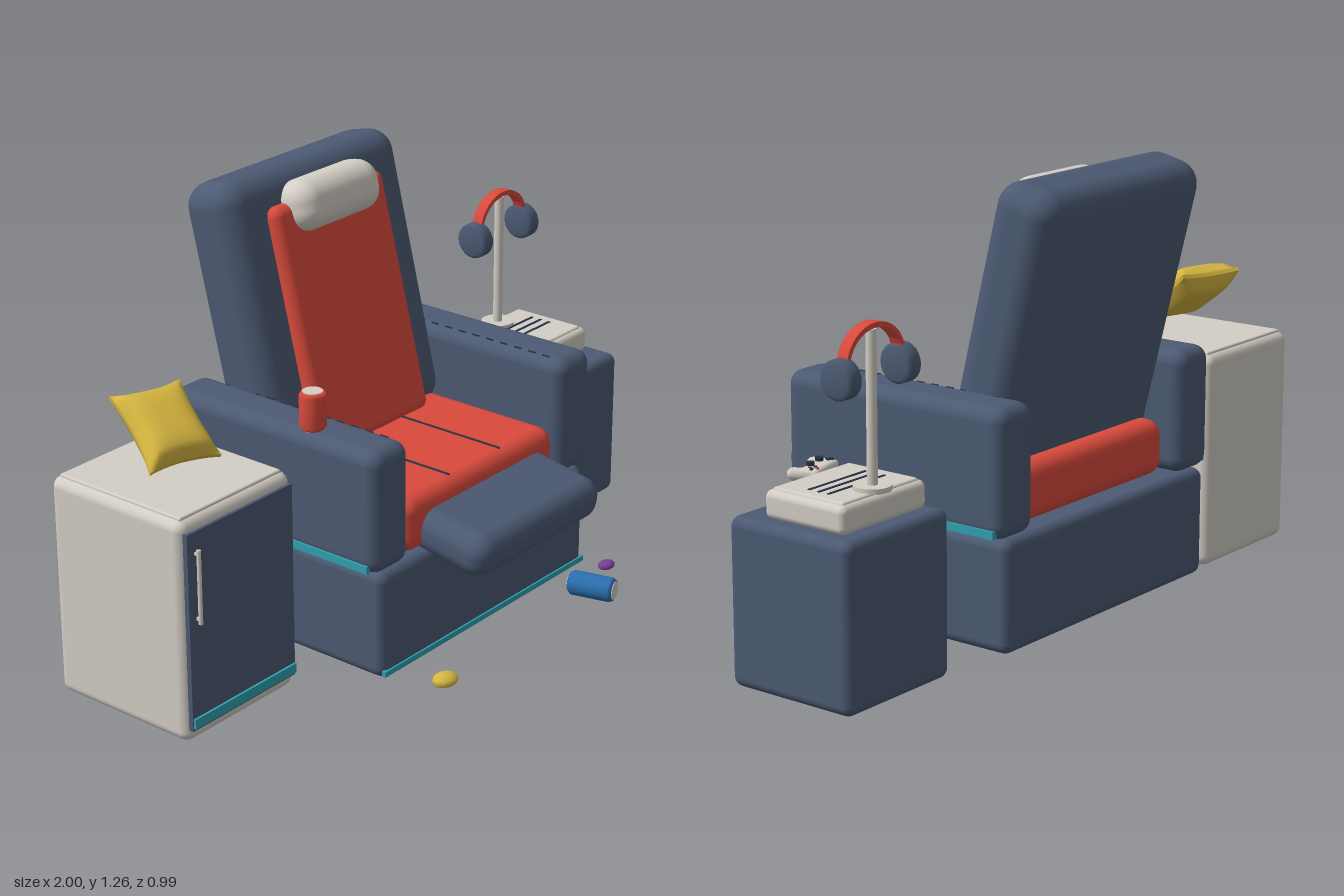
import * as THREE from 'three';
import { RoundedBoxGeometry } from 'three/addons/geometries/RoundedBoxGeometry.js';

const mat = (name, color) => {
  const m = new THREE.MeshStandardMaterial({ color });
  m.name = name;
  return m;
};

export function createModel() {
  const model = new THREE.Group();
  model.name = 'loungeSet';
  const navy = mat('navy', 0x4c5a73), red = mat('red', 0xd94a3c), ivory = mat('ivory', 0xd3cec5);
  const yellow = mat('yellow', 0xd6b640), teal = mat('teal', 0x2fa2b0), blue = mat('blue', 0x2a6fb0);
  const purple = mat('purple', 0x7a3f98), dark = mat('dark', 0x283348);

  const group = (name, parent = model) => {
    const g = new THREE.Group();
    g.name = name;
    parent.add(g);
    return g;
  };
  const add = (parent, name, geometry, material, x = 0, y = 0, z = 0) => {
    const m = new THREE.Mesh(geometry, material);
    m.name = name;
    m.position.set(x, y, z);
    parent.add(m);
    return m;
  };
  // Rounded box given by its extents on each axis
  const soft = (parent, name, material, [x0, x1], [y0, y1], [z0, z1], r) =>
    add(parent, name, new RoundedBoxGeometry(x1 - x0, y1 - y0, z1 - z0, 4, r), material,
      (x0 + x1) / 2, (y0 + y1) / 2, (z0 + z1) / 2);
  const box = (parent, name, material, w, h, d, x, y, z) =>
    add(parent, name, new THREE.BoxGeometry(w, h, d), material, x, y, z);
  const cyl = (parent, name, material, r, h, x, y, z, sides = 24) =>
    add(parent, name, new THREE.CylinderGeometry(r, r, h, sides), material, x, y, z);

  // Armchair
  const chair = group('armchair');
  soft(chair, 'base', navy, [-0.46, 0.46], [0.03, 0.345], [-0.45, 0.295], 0.03);
  box(chair, 'baseStrip', teal, 0.91, 0.016, 0.012, 0, 0.05, 0.294);
  for (const s of [-1, 1]) {
    const xs = s > 0 ? [0.335, 0.485] : [-0.485, -0.335];
    soft(chair, s > 0 ? 'leftArm' : 'rightArm', navy, xs, [0.345, 0.7], [-0.45, 0.295], 0.042);
    box(chair, 'armStrip', teal, 0.016, 0.022, 0.69, s * 0.482, 0.365, -0.08);
    for (let i = 0; i < 12; i++)
      box(chair, 'armStitch', dark, 0.004, 0.004, 0.025, s * 0.36, 0.697, 0.22 - i * 0.05);
  }
  soft(chair, 'seatCushion', red, [-0.335, 0.335], [0.345, 0.505], [-0.4, 0.28], 0.045);
  for (const x of [-0.113, 0.113]) box(chair, 'seatSeam', dark, 0.008, 0.006, 0.38, x, 0.504, 0.055);

  const tilt = -0.24;
  const back = add(chair, 'backrest', new RoundedBoxGeometry(0.73, 0.82, 0.195, 5, 0.07), navy, 0, 0.855, -0.322);
  back.rotation.x = tilt;
  const panel = add(chair, 'backCushion', new RoundedBoxGeometry(0.465, 0.71, 0.07, 4, 0.03), red, 0.002, 0.835, -0.213);
  panel.rotation.x = tilt - 0.01;
  const head = add(chair, 'headPillow', new RoundedBoxGeometry(0.34, 0.145, 0.14, 5, 0.06), ivory, 0.003, 1.165, -0.275);
  head.rotation.x = tilt;
  const foot = add(chair, 'footrest', new RoundedBoxGeometry(0.56, 0.125, 0.3, 5, 0.055), navy, 0.004, 0.384, 0.338);
  foot.rotation.x = 0.17;

  // Drink can: body, pale ends and rims
  const can = (name, material, r, h, parent = model) => {
    const g = group(name, parent);
    const profile = [[0, -h / 2], [r * 0.8, -h / 2], [r, -h / 2 + 0.01], [r, h / 2 - 0.01], [r * 0.85, h / 2], [0, h / 2]];
    for (let i = 2; i < 4; i++) profile[i][0] = r;
    add(g, 'canBody', new THREE.LatheGeometry(profile.map(p => new THREE.Vector2(...p)), 24), material);
    for (const s of [-1, 1]) cyl(g, 'canEnd', ivory, r * 0.75, 0.004, 0, s * (h / 2), 0);
    return g;
  };
  can('redCan', red, 0.037, 0.107).position.set(-0.441, 0.752, 0.043);
  const lying = can('blueCan', blue, 0.036, 0.135);
  lying.position.set(0.342, 0.039, 0.414);
  lying.rotation.set(Math.PI / 2, 0, -0.25);

  // Small fridge
  const fridge = group('fridge');
  soft(fridge, 'fridgeBody', ivory, [-1, -0.575], [0, 0.635], [-0.385, 0.085], 0.03);
  box(fridge, 'fridgeDoor', navy, 0.4, 0.565, 0.02, -0.787, 0.322, 0.084);
  box(fridge, 'doorStrip', teal, 0.395, 0.028, 0.014, -0.787, 0.062, 0.094);
  cyl(fridge, 'doorHandle', ivory, 0.006, 0.21, -0.958, 0.452, 0.106, 10);
  for (const y of [0.36, 0.545]) box(fridge, 'handleMount', ivory, 0.008, 0.008, 0.018, -0.958, y, 0.098);
  soft(fridge, 'fridgeLid', ivory, [-0.98, -0.595], [0.625, 0.641], [-0.365, 0.065], 0.006);

  // Scatter pillow: a box pinched towards its seams, corners drawn out
  const pg = new THREE.BoxGeometry(2, 2, 2, 14, 4, 14);
  const p = pg.attributes.position;
  for (let i = 0; i < p.count; i++) {
    const x = p.getX(i), y = p.getY(i), z = p.getZ(i);
    const puff = 0.12 + 0.88 * Math.sqrt((1 - x ** 4) * (1 - z ** 4));
    p.setXYZ(i, x * (0.092 + 0.013 * z * z), y * 0.05 * puff, z * (0.112 + 0.013 * x * x));
  }
  pg.computeVertexNormals();
  const pillow = add(model, 'scatterPillow', pg, yellow, -0.788, 0.765, -0.163);
  pillow.rotation.set(0.6, -0.29, 0, 'YXZ');

  // Side table
  const table = group('sideTable');
  soft(table, 'tableBody', navy, [0.595, 0.998], [0, 0.457], [-0.372, 0.032], 0.028);

  // Console with vent slots
  const con = group('console');
  soft(con, 'consoleBody', ivory, [0.628, 0.957], [0.455, 0.532], [-0.323, -0.056], 0.02);
  soft(con, 'consoleTop', ivory, [0.645, 0.94], [0.52, 0.538], [-0.308, -0.072], 0.008);
  for (let i = 0; i < 3; i++)
    box(con, 'ventSlot', dark, 0.22, 0.004, 0.008, 0.795, 0.538, -0.228 + i * 0.032);

  // Headphones on a stand
  const phones = group('headphoneStand');
  cyl(phones, 'standFoot', ivory, 0.05, 0.014, 0.795, 0.542, -0.28);
  cyl(phones, 'standPole', ivory, 0.014, 0.405, 0.795, 0.747, -0.28, 16);
  const outline = [];
  const arc = (a, b, from, to) => {
    for (let i = 0; i <= 16; i++) {
      const t = from + (to - from) * i / 16;
      outline.push(new THREE.Vector2(Math.cos(t) * a, Math.sin(t) * b));
    }
  };
  arc(0.112, 0.098, 0.12, Math.PI - 0.12);
  arc(0.099, 0.084, Math.PI - 0.12, 0.12);
  add(phones, 'headband', new THREE.ExtrudeGeometry(new THREE.Shape(outline), { depth: 0.034, bevelEnabled: false }),
    red, 0.795, 0.87, -0.297);
  const cupProfile = [[0, -0.026], [0.042, -0.026], [0.053, -0.016], [0.053, 0.016], [0.042, 0.026], [0, 0.026]]
    .map(q => new THREE.Vector2(...q));
  for (const s of [-1, 1]) {
    const cup = add(phones, 'earCup', new THREE.LatheGeometry(cupProfile, 24), navy, 0.795 + s * 0.114, 0.842, -0.28);
    cup.rotation.z = Math.PI / 2;
  }

  // Game controller resting over the console's front edge
  const pad = group('controller');
  pad.position.set(0.705, 0.522, -0.012);
  pad.rotation.y = 0.25;
  add(pad, 'controllerBody', new RoundedBoxGeometry(0.13, 0.032, 0.06, 3, 0.014), ivory, 0, 0, -0.008);
  for (const s of [-1, 1]) {
    const grip = add(pad, 'grip', new THREE.CapsuleGeometry(0.017, 0.045, 4, 10), ivory, s * 0.05, -0.003, 0.016);
    grip.rotation.set(Math.PI / 2, 0, -s * 0.25);
    cyl(pad, 'thumbStick', dark, 0.011, 0.014, s * 0.025, 0.019, 0.004, 12);
  }
  box(pad, 'directionPad', dark, 0.024, 0.006, 0.008, -0.046, 0.016, -0.016);
  box(pad, 'directionPad', dark, 0.008, 0.006, 0.024, -0.046, 0.016, -0.016);
  for (let i = 0; i < 4; i++) {
    const a = i * Math.PI / 2;
    cyl(pad, 'button', i % 2 ? red : dark, 0.005, 0.006, 0.046 + 0.011 * Math.cos(a), 0.016, -0.016 + 0.011 * Math.sin(a), 8);
  }

  // Sweets on the floor
  const sweet = (name, material, w, h, d, x, y, z) =>
    add(model, name, new THREE.SphereGeometry(0.5, 10, 6), material, x, y, z).scale.set(w, h, d);
  sweet('yellowSweet', yellow, 0.084, 0.036, 0.066, -0.336, 0.026, 0.411);
  sweet('purpleSweet', purple, 0.06, 0.025, 0.046, 0.511, 0.02, 0.345);

  return model;
}
